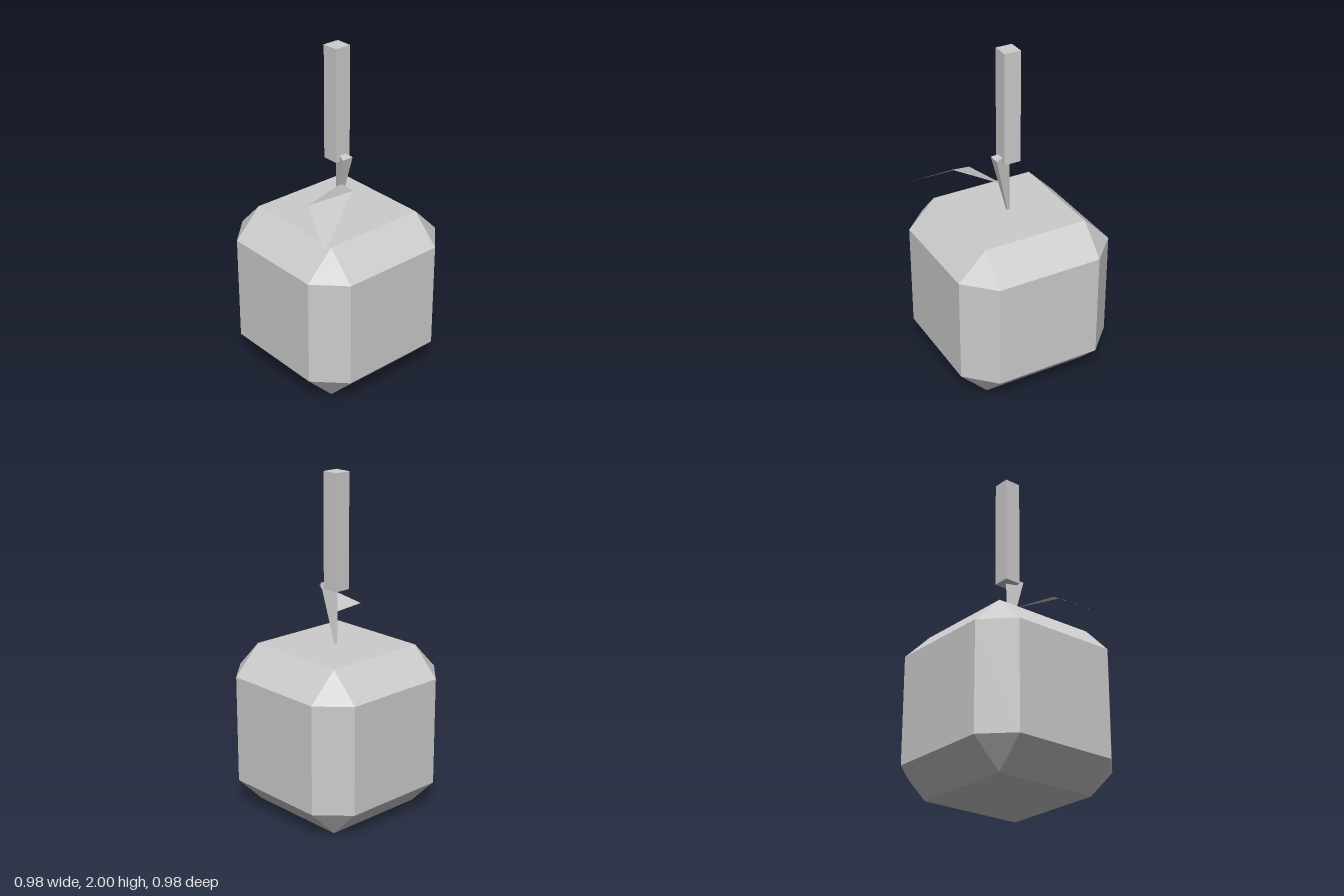
import * as THREE from 'three';
import { ConvexGeometry } from 'three/addons/geometries/ConvexGeometry.js';

const v = (x, y, z) => new THREE.Vector3(x, y, z);

export function createModel() {
  const model = new THREE.Group();
  model.name = 'fruit';
  const grey = new THREE.MeshStandardMaterial({ color: 0xcccccc, flatShading: true, side: THREE.DoubleSide });
  grey.name = 'lightGrey';
  const add = (name, geometry) => {
    const mesh = new THREE.Mesh(geometry, grey);
    mesh.name = name;
    model.add(mesh);
    return mesh;
  };

  // Body: cube with every edge bevelled, so each corner becomes a triangle
  const outer = 0.491, inner = 0.323, midY = 0.495;
  const corners = [];
  for (const x of [-1, 1]) for (const y of [-1, 1]) for (const z of [-1, 1]) {
    corners.push(
      v(x * outer, midY + y * 0.325, z * inner),
      v(x * inner, midY + y * midY, z * inner),
      v(x * inner, midY + y * 0.325, z * outer)
    );
  }
  add('body', new ConvexGeometry(corners));

  // Stem: three-sided taper, widening and leaning upward
  add('stem', new ConvexGeometry([
    v(-0.007, 0.988, 0), v(0.01, 0.988, 0.007), v(0.01, 0.988, -0.007),
    v(-0.01, 1.372, 0), v(0.093, 1.345, 0.037), v(0.093, 1.345, -0.037)
  ]));

  // Post: tall square bar above the stem
  add('post', new THREE.BoxGeometry(0.102, 0.68, 0.102)).position.y = 1.66;

  // Leaf: two triangles folded across the middle
  const base = v(0.034, 1.167, 0), right = v(0.29, 1.265, 0.135);
  const left = v(0.1, 1.155, 0.295), tip = v(0.426, 1.058, 0.46);
  add('leaf', new THREE.BufferGeometry().setFromPoints([base, left, right, left, tip, right]))
    .geometry.computeVertexNormals();

  return model;
}
